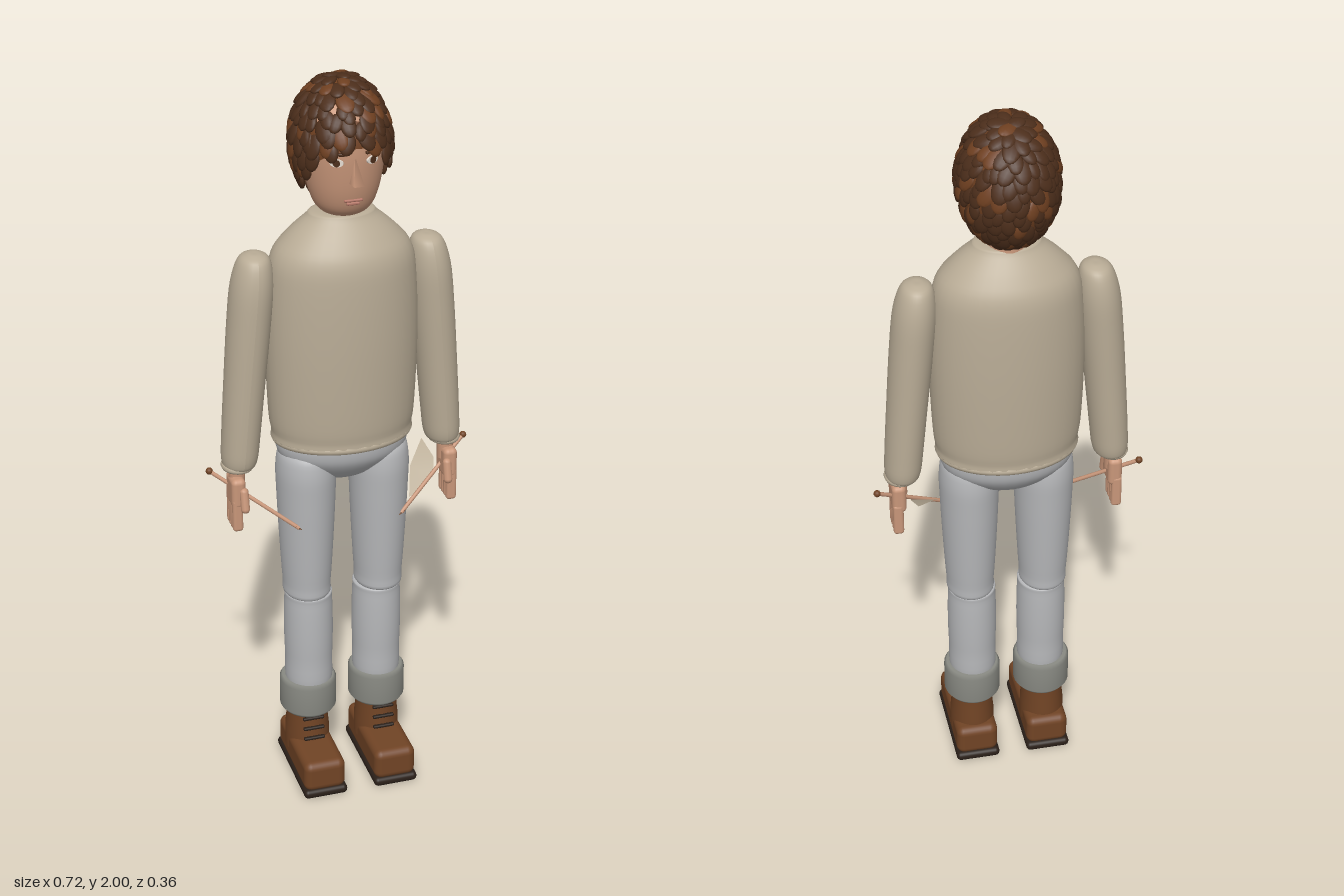
import * as THREE from 'three';
import { mergeGeometries } from 'three/addons/utils/BufferGeometryUtils.js';
import { RoundedBoxGeometry } from 'three/addons/geometries/RoundedBoxGeometry.js';

const mat = (name, color) => {
  const m = new THREE.MeshStandardMaterial({ color });
  m.name = name;
  return m;
};

export function createModel() {
  const skin = mat('skin', 0xc9977a), wool = mat('wool', 0xb9ac96), denim = mat('trouser grey', 0xb6b7b9);
  const cuffGrey = mat('cuff grey', 0x888982), hairDark = mat('dark hair', 0x4c2e1b), hairLight = mat('light hair', 0x6e3f20);
  const leather = mat('leather', 0x714425), soleDark = mat('sole', 0x2b2019), white = mat('eye white', 0xe6ddd2), lip = mat('lips', 0xb67868);
  wool.side = THREE.DoubleSide;

  const model = new THREE.Group();
  model.name = 'standingFigure';
  const add = (name, geo, material, x = 0, y = 0, z = 0, parent = model) => {
    const m = new THREE.Mesh(geo, material);
    m.name = name;
    m.position.set(x, y, z);
    parent.add(m);
    return m;
  };
  // Smooth turned shape from [radius, y] pairs, bottom to top, with oval section
  const turned = (pairs, sx = 1, sz = 1, smooth = true) => {
    let pts = pairs.map(p => new THREE.Vector2(p[0], p[1]));
    if (smooth) pts = new THREE.SplineCurve(pts).getPoints(pairs.length * 4);
    pts.forEach(p => { p.x = Math.max(p.x, 0); });
    return new THREE.LatheGeometry(pts, 36).scale(sx, 1, sz);
  };
  const rod = (a, b, r) => new THREE.TubeGeometry(new THREE.LineCurve3(a, b), 1, r, 8);

  // Sweater body with hem and collar
  add('sweater', turned([[0, 1.03], [0.17, 1.025], [0.187, 1.05], [0.195, 1.12], [0.2, 1.3], [0.195, 1.46],
    [0.182, 1.54], [0.145, 1.59], [0.095, 1.635], [0.075, 1.65], [0, 1.652]], 1, 0.715), wool, 0, 0, -0.012);
  add('sweaterHem', new THREE.TorusGeometry(0.178, 0.011, 8, 48).rotateX(Math.PI / 2).scale(1, 1, 0.72), wool, 0, 1.03, -0.012);

  // Hips
  add('hips', turned([[0, 0.895], [0.06, 0.905], [0.12, 0.935], [0.165, 0.975], [0.178, 1.01], [0.175, 1.04]], 1, 0.67), denim, 0, 0, -0.012);

  for (const s of [1, -1]) {
    const side = s > 0 ? 'left' : 'right';

    // Leg: thigh, shin, rolled cuff
    const leg = new THREE.Group();
    leg.name = side + 'Leg';
    leg.position.x = s * 0.1;
    model.add(leg);
    const thigh = turned([[0, 0.555], [0.058, 0.56], [0.064, 0.6], [0.071, 0.72], [0.077, 0.86], [0.078, 0.95], [0.062, 1.0], [0, 1.02]], 1, 1.17);
    add('thigh', thigh, denim, 0, 0, -0.006, leg).rotation.z = 0;
    add('shin', turned([[0, 0.25], [0.058, 0.26], [0.064, 0.36], [0.066, 0.45], [0.064, 0.54], [0.058, 0.563], [0, 0.566]], 1, 1.07), denim, -s * 0.004, 0, -0.006, leg);
    add('trouserCuff', turned([[0, 0.19], [0.07, 0.19], [0.077, 0.2], [0.077, 0.28], [0.07, 0.29], [0, 0.29]], 1, 1.05, false), cuffGrey, -s * 0.002, 0, -0.008, leg);

    // Boot: shaft, foot, sole, laces
    add('bootShaft', turned([[0.062, 0.06], [0.062, 0.12], [0.058, 0.16], [0.058, 0.21]], 0.97, 1.12, false), leather, 0, 0, -0.012, leg);
    add('bootFoot', new RoundedBoxGeometry(0.116, 0.09, 0.275, 3, 0.022), leather, 0, 0.062, 0.036, leg);
    add('bootSole', new RoundedBoxGeometry(0.122, 0.026, 0.288, 3, 0.012), soleDark, 0, 0.013, 0.035, leg);
    for (let i = 0; i < 3; i++) {
      add('lace', new RoundedBoxGeometry(0.06, 0.009, 0.012, 2, 0.004), soleDark, 0, 0.118 + i * 0.03, 0.06 - i * 0.004, leg);
    }

    // Sleeve, leaning outward towards the wrist
    const arm = new THREE.Group();
    arm.name = side + 'Arm';
    model.add(arm);
    const sleeve = turned([[0, 0.965], [0.036, 0.965], [0.047, 0.985], [0.05, 1.05], [0.053, 1.2], [0.056, 1.36],
      [0.055, 1.47], [0.042, 1.535], [0.02, 1.553], [0, 1.555]], 1, 1.2);
    const p = sleeve.attributes.position;
    for (let i = 0; i < p.count; i++) {
      p.setX(i, p.getX(i) + s * (0.226 + 0.13 * (1 - Math.pow(1 - Math.min(1, (1.555 - p.getY(i)) / 1.2), 1.4)) * 0.65));
    }
    sleeve.computeVertexNormals();
    add('sleeve', sleeve, wool, 0, 0, -0.014, arm);
    add('sleeveCuff', new THREE.TorusGeometry(0.034, 0.009, 8, 24).rotateX(Math.PI / 2).scale(1, 1, 1.15), wool, s * 0.283, 0.967, -0.012, arm);

    // Hand: wrist, palm, fingers, thumb
    add('wrist', new THREE.CylinderGeometry(0.022, 0.021, 0.07, 16), skin, s * 0.286, 0.94, -0.008, arm);
    add('palm', new RoundedBoxGeometry(0.038, 0.085, 0.076, 3, 0.014), skin, s * 0.29, 0.9, -0.002, arm);
    for (let i = 0; i < 4; i++) {
      add('finger', new RoundedBoxGeometry(0.028, 0.095, 0.021, 2, 0.009), skin, s * 0.294, 0.838, -0.031 + i * 0.0185, arm);
    }
    const thumb = add('thumb', new THREE.CapsuleGeometry(0.012, 0.045, 4, 10), skin, s * 0.278, 0.885, 0.04, arm);
    thumb.rotation.set(-0.25, 0, 0);

    // Knobbed stick held across the hand
    const knob = new THREE.Vector3(s * 0.35, 0.94, -0.045), tip = new THREE.Vector3(s * 0.14, 0.795, 0.068);
    add('stick', rod(knob, tip, 0.0055), skin, 0, 0, 0, arm);
    add('stickKnob', new THREE.SphereGeometry(0.0095, 12, 10), leather, knob.x, knob.y, knob.z, arm);
    add('stickTip', new THREE.ConeGeometry(0.0056, 0.02, 8), leather, tip.x, tip.y, tip.z, arm)
      .quaternion.setFromUnitVectors(new THREE.Vector3(0, 1, 0), tip.clone().sub(knob).normalize());
  }

  // Pointed blade beside the left hand
  const blade = new THREE.BufferGeometry();
  blade.setAttribute('position', new THREE.Float32BufferAttribute([
    0.17, 0.825, 0.045, 0.195, 0.88, -0.025, 0.25, 0.92, -0.095, 0.262, 0.895, -0.03, 0.25, 0.86, 0.01, 0.21, 0.84, 0.03], 3));
  blade.setIndex([0, 5, 1, 1, 5, 4, 1, 4, 3, 1, 3, 2]);
  blade.computeVertexNormals();
  add('blade', blade, wool);

  // Neck and head
  add('neck', new THREE.CylinderGeometry(0.052, 0.056, 0.12, 24), skin, 0, 1.66, -0.02);
  add('head', turned([[0, 1.648], [0.045, 1.652], [0.073, 1.675], [0.09, 1.72], [0.1, 1.78], [0.104, 1.84],
    [0.098, 1.9], [0.065, 1.95], [0, 1.965]], 1, 0.98), skin, 0, 0, 0.004);

  // Face
  const nose = new THREE.ConeGeometry(0.022, 0.07, 4, 1).rotateY(Math.PI / 4).scale(0.85, 1, 1.9);
  add('nose', nose, skin, 0, 1.793, 0.106).rotation.x = -0.12;
  add('upperLip', new RoundedBoxGeometry(0.048, 0.007, 0.009, 2, 0.003), lip, 0, 1.708, 0.088);
  add('lowerLip', new RoundedBoxGeometry(0.034, 0.008, 0.009, 2, 0.003), lip, 0, 1.699, 0.086);
  for (const s of [1, -1]) {
    const eye = new THREE.Group();
    eye.name = s > 0 ? 'leftEye' : 'rightEye';
    eye.position.set(s * 0.045, 1.813, 0.096);
    eye.rotation.y = s * 0.45;
    model.add(eye);
    const disc = (r, sx, sy) => new THREE.CylinderGeometry(r, r, 0.006, 20).rotateX(Math.PI / 2).scale(sx, sy, 1);
    add('eyeWhite', disc(0.017, 1, 0.6), white, 0, 0, 0, eye);
    add('iris', disc(0.009, 1, 1), hairDark, 0, 0, 0.002, eye);
    add('eyebrow', new RoundedBoxGeometry(0.042, 0.008, 0.009, 2, 0.003), hairDark, 0, 0.022, 0.001, eye);
    add('ear', new THREE.SphereGeometry(0.022, 12, 10).scale(0.5, 1.3, 1), skin, s * 0.101, 1.785, -0.015);
  }

  // Hair: a tilted cap covered with overlapping locks
  const radii = new THREE.Vector3(0.122, 0.165, 0.143), centre = new THREE.Vector3(0, 1.822, -0.024);
  const tilt = -0.68, spread = 2.07;
  add('hairCap', new THREE.SphereGeometry(1, 40, 24, 0, Math.PI * 2, 0, spread).rotateX(tilt)
    .scale(radii.x, radii.y, radii.z), hairLight, centre.x, centre.y, centre.z);
  let seed = 7;
  const rand = () => (seed = (seed * 16807) % 2147483647) / 2147483647;
  const locks = [[], []], count = 210, crown = new THREE.Vector3(0, 1, -0.25).normalize();
  for (let i = 0; i < count; i++) {
    const c = 1 - (i + 0.5) / count * (1 - Math.cos(spread)), r = Math.sqrt(1 - c * c), a = i * 2.39996 + rand() * 0.25;
    const n = new THREE.Vector3(r * Math.cos(a), c, r * Math.sin(a)).applyAxisAngle(new THREE.Vector3(1, 0, 0), tilt);
    const pos = n.clone().multiply(radii).add(centre);
    const out = n.clone().divide(radii).normalize();
    const across = new THREE.Vector3().crossVectors(crown, out).normalize();
    const along = new THREE.Vector3().crossVectors(out, across);
    const k = 0.85 + rand() * 0.35;
    const lock = new THREE.SphereGeometry(1, 12, 8).scale(0.02 * k, 0.029 * k, 0.009);
    lock.rotateX(-0.2).rotateZ((rand() - 0.5) * 0.7);
    lock.applyMatrix4(new THREE.Matrix4().makeBasis(across, along, out).setPosition(pos));
    locks[rand() < 0.2 ? 1 : 0].push(lock);
  }
  add('darkLocks', mergeGeometries(locks[0]), hairDark);
  add('lightLocks', mergeGeometries(locks[1]), hairLight);

  return model;
}
